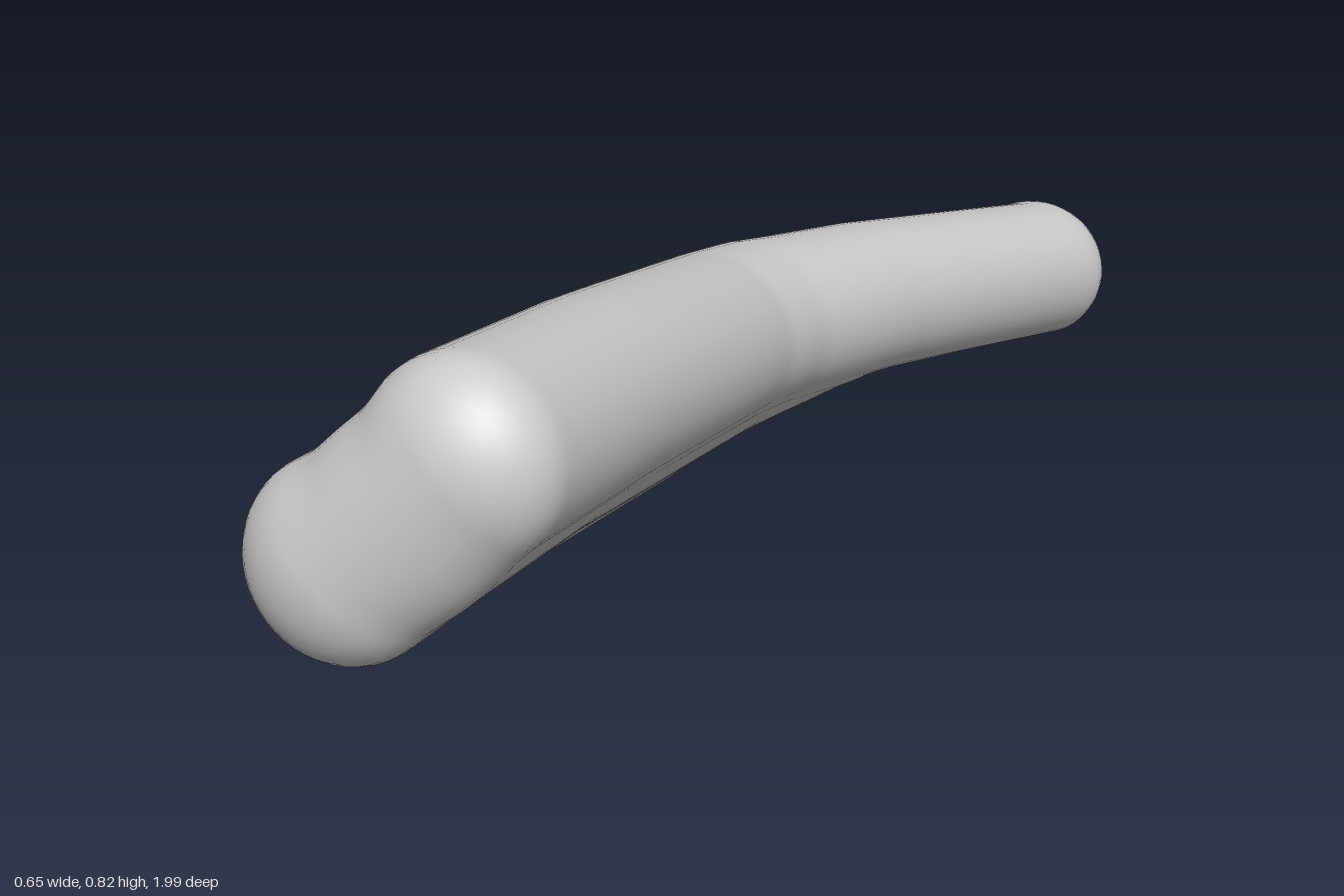
import * as THREE from 'three';
import { mergeVertices } from 'three/addons/utils/BufferGeometryUtils.js';

// Limb centres along the length: z, lower limb x y, upper limb x y, radii
const STATIONS = [
  [0.86, -0.015, 0.52, 0.14, 0.678, 0.137, 0.135],
  [0.5, -0.08, 0.439, 0.085, 0.592, 0.139, 0.135],
  [0, -0.14, 0.321, 0.018, 0.465, 0.14, 0.133],
  [-0.12, -0.152, 0.299, 0.022, 0.442, 0.14, 0.132],
  [-0.4, -0.178, 0.243, 0.077, 0.388, 0.14, 0.128],
  [-0.6, -0.185, 0.2, 0.128, 0.345, 0.14, 0.125],
  [-0.86, -0.186, 0.141, 0.198, 0.288, 0.14, 0.122],
  [-1, -0.186, 0.133, 0.203, 0.28, 0.14, 0.122],
];
const SIDES = 48;
const SEAM = 30; // ring angle (degrees) that lies on the seam between the limbs
const CROTCH = -0.64;
const { lerp, clamp, smoothstep, degToRad } = THREE.MathUtils;

// Values at a given z, extended in a straight line past the front end
function sample(z) {
  let i = 0;
  while (i < STATIONS.length - 2 && z < STATIONS[i + 1][0]) i++;
  const p = STATIONS[i], q = STATIONS[i + 1];
  const f = (z - p[0]) / (q[0] - p[0]);
  return p.map((n, k) => lerp(n, q[k], f));
}

// Ring positions for a limb: rounded front, body, rounded back; k scales the radius
function makeRings(backDepth) {
  const rings = [];
  const cap = 10, steps = 96;
  for (let i = 0; i < cap; i++) {
    const a = (i / cap) * Math.PI / 2;
    rings.push({ z: 0.865 + 0.105 * Math.cos(a), k: Math.sin(a) });
  }
  for (let i = 0; i <= steps; i++) rings.push({ z: lerp(0.865, -0.86, i / steps), k: 1 });
  for (let i = 1; i <= cap; i++) {
    const a = (i / cap) * Math.PI / 2;
    rings.push({ z: -0.86 - backDepth * Math.sin(a), k: i < cap ? Math.cos(a) : 0 });
  }
  return rings;
}

const ringAngle = (j) => (j <= SIDES / 2 ? j : j - SIDES) * 360 / SIDES;

// One limb: round outside, with its inner side drawn out to the seam where joined
function addLimb(upper, pos, idx) {
  const rings = makeRings(upper ? 0.115 : 0.14);
  const start = pos.length / 3;
  rings.forEach(({ z, k }) => {
    const [, ax, ay, bx, by, ra, rb] = sample(z);
    const half = Math.hypot(bx - ax, by - ay) / 2;
    const s = upper ? -1 : 1;
    const ux = s * (bx - ax) / (2 * half), uy = s * (by - ay) / (2 * half);
    const cx = upper ? bx : ax, cy = upper ? by : ay;
    const mx = (ax + bx) / 2, my = (ay + by) / 2;
    const full = upper ? rb : ra;
    const join = smoothstep(z, CROTCH - 0.06, CROTCH);
    const tilt = smoothstep(z, -0.3, 0.5);
    // web thickness: rounds off at the crotch, slightly hollow on the top side
    const t = clamp((z - CROTCH + 0.005) / 0.4, 0.005, 1);
    const web = (ra + rb) / 2 * Math.sqrt(t * (2 - t));
    const hollow = lerp(0.96, 0.87, smoothstep(z, 0, 0.8));
    for (let j = 0; j < SIDES; j++) {
      const deg = ringAngle(j), abs = Math.abs(deg);
      let a = full * k * Math.cos(degToRad(deg)), h = full * k * Math.sin(degToRad(deg));
      if (abs < 90) {
        // blend of the round limb and the web between the two limbs
        const f = Math.min(1, (90 - abs) / (90 - SEAM));
        const round = Math.sqrt(Math.max(0, full * full - half * half * f * f));
        const waist = web * (deg * s > 0 ? hollow : 0.99);
        const soft = 0.04 * f * f;
        const height = k * (round + waist + Math.hypot(round - waist, soft)) / 2;
        // both limbs share one height on the seam
        const seamRound = Math.sqrt(Math.max(0, (ra + rb) ** 2 / 4 - half * half));
        const seamHeight = k * (seamRound + waist + Math.hypot(seamRound - waist, 0.04)) / 2;
        const flank = lerp(height, seamHeight, f * f);
        a = lerp(a, half * f, join);
        h = lerp(h, flank * clamp(deg / SEAM, -1, 1), join);
      }
      const x = cx + ux * a - uy * h, y = cy + uy * a + ux * h;
      pos.push(x, y, z - tilt * (0.16 * (y - my) + 0.1 * (x - mx)));
    }
  });
  for (let i = 0; i < rings.length - 1; i++) {
    for (let j = 0; j < SIDES; j++) {
      const n = (j + 1) % SIDES;
      // the seam is left open where the limbs are joined
      const onSeam = Math.max(Math.abs(ringAngle(j)), Math.abs(ringAngle(n))) <= SEAM;
      if (onSeam && rings[i + 1].z >= CROTCH) continue;
      const a = start + i * SIDES + j, c = start + i * SIDES + n;
      idx.push(a, a + SIDES, c, c, a + SIDES, c + SIDES);
    }
  }
}

export function createModel() {
  const pos = [], idx = [];
  addLimb(false, pos, idx);
  addLimb(true, pos, idx);
  const shape = new THREE.BufferGeometry();
  shape.setAttribute('position', new THREE.Float32BufferAttribute(pos, 3));
  shape.setIndex(idx);

  // weld the two halves so the shading runs smoothly across the seam
  const geometry = mergeVertices(shape, 1e-4);
  geometry.computeVertexNormals();

  const body = new THREE.Mesh(geometry, new THREE.MeshStandardMaterial({ color: 0xcccccc }));
  body.name = 'forkedBody';
  const group = new THREE.Group();
  group.name = 'forkedBranch';
  group.add(body);
  return group;
}
